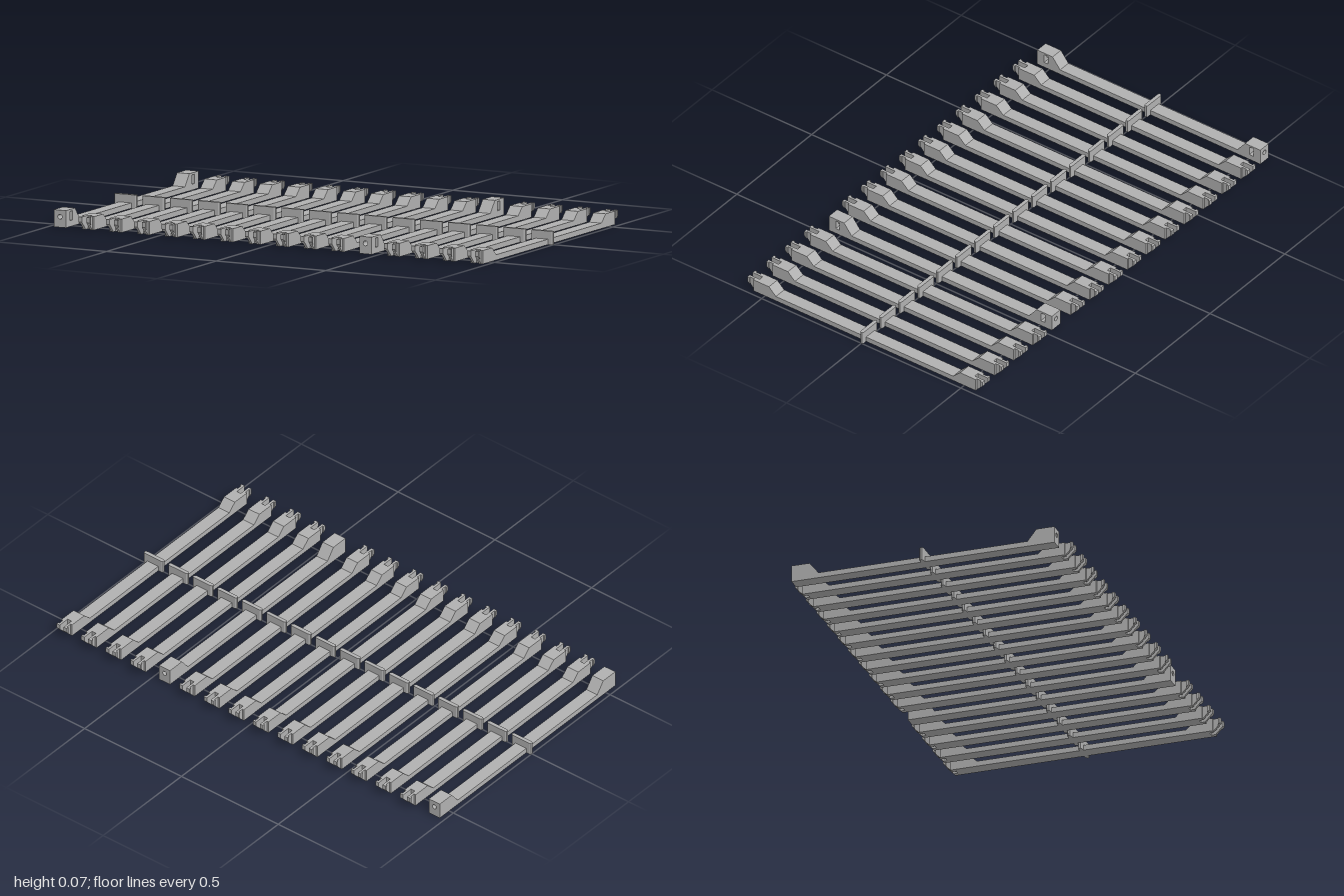
import * as THREE from 'three';

const gray = new THREE.MeshStandardMaterial({ color: 0xb0b0b0 });
gray.name = 'light gray';

const W = 0.028;      // half width of a slat
const PITCH = 0.1267; // distance between slats

function add(group, name, geometry) {
  const mesh = new THREE.Mesh(geometry, gray);
  mesh.name = name;
  group.add(mesh);
}

// Side profile of [z, y] points, mirrored by s, extruded from x0 to x1
function sideExtrude(points, s, x0, x1) {
  const shape = new THREE.Shape(points.map(([z, y]) => new THREE.Vector2(z * s, y)));
  const geo = new THREE.ExtrudeGeometry(shape, { depth: x1 - x0, bevelEnabled: false });
  return geo.rotateY(-Math.PI / 2).translate(x1, 0, 0);
}

function box(x0, x1, y0, y1, z0, z1) {
  return new THREE.BoxGeometry(x1 - x0, y1 - y0, Math.abs(z1 - z0))
    .translate((x0 + x1) / 2, (y0 + y1) / 2, (z0 + z1) / 2);
}

// Beam with a ramp up to a raised block at both ends
function beam(group, rampZ, endZ, top) {
  const half = [[0.445, 0.022], [rampZ, top], [endZ, top], [endZ, 0]];
  const other = half.map(([z, y]) => [-z, y]).reverse();
  add(group, 'beam', sideExtrude([...half, ...other], 1, -W, W));
}

// Low end with two barbed clip prongs either side of a notch
function clipEnd(group, s) {
  for (const m of [-1, 1]) {
    const span = (a, b) => (m > 0 ? [a, b] : [-b, -a]);
    const [c0, c1] = span(0.01, W);
    add(group, 'cheek', box(c0, c1, 0, 0.055, s * 0.54, s * 0.558));
    add(group, 'prong', sideExtrude(
      [[0.558, 0], [0.59, 0.034], [0.59, 0.055], [0.558, 0.055]], s, ...span(0.01, 0.02)));
    add(group, 'barb', sideExtrude(
      [[0.58, 0.024], [0.59, 0.034], [0.59, 0.055], [0.58, 0.055]], s, ...span(0.02, 0.026)));
  }
}

// Tall end with a bolt hole in its face and a nut slot in its side
function boltEnd(group, s) {
  add(group, 'slotFloor', box(-W, W, 0, 0.024, s * 0.505, s * 0.525));
  add(group, 'slotRoof', box(-W, W, 0.062, 0.07, s * 0.505, s * 0.525));
  add(group, 'slotBack', box(-W, -0.02, 0.024, 0.062, s * 0.505, s * 0.525));
  const wall = new THREE.Shape([[-W, 0], [W, 0], [W, 0.07], [-W, 0.07]]
    .map(([x, y]) => new THREE.Vector2(x, y)));
  const hole = new THREE.Path();
  hole.absarc(0, 0.043, 0.01, 0, Math.PI * 2, true);
  wall.holes.push(hole);
  const geo = new THREE.ExtrudeGeometry(wall, { depth: 0.035, bevelEnabled: false, curveSegments: 12 });
  add(group, 'boltWall', geo.translate(0, 0, s > 0 ? 0.525 : -0.56));
}

// Upright cross plate with chamfered ends
function crossPlate(group) {
  const plan = [[-0.05, -0.004], [-0.044, -0.008], [0.044, -0.008], [0.05, -0.004],
    [0.05, 0.004], [0.044, 0.008], [-0.044, 0.008], [-0.05, 0.004]];
  const shape = new THREE.Shape(plan.map(([x, z]) => new THREE.Vector2(x, z)));
  const geo = new THREE.ExtrudeGeometry(shape, { depth: 0.055, bevelEnabled: false });
  add(group, 'crossPlate', geo.rotateX(-Math.PI / 2));
}

export function createModel() {
  const model = new THREE.Group();
  model.name = 'slatRow';
  for (let i = 0; i < 16; i++) {
    const bolted = i === 0 || i === 11;
    const slat = new THREE.Group();
    slat.name = bolted ? 'boltedSlat' : 'clipSlat';
    slat.position.x = (i - 7.5) * PITCH;
    if (bolted) beam(slat, 0.483, 0.505, 0.07);
    else beam(slat, 0.48, 0.54, 0.055);
    for (const s of [-1, 1]) (bolted ? boltEnd : clipEnd)(slat, s);
    crossPlate(slat);
    model.add(slat);
  }
  return model;
}
